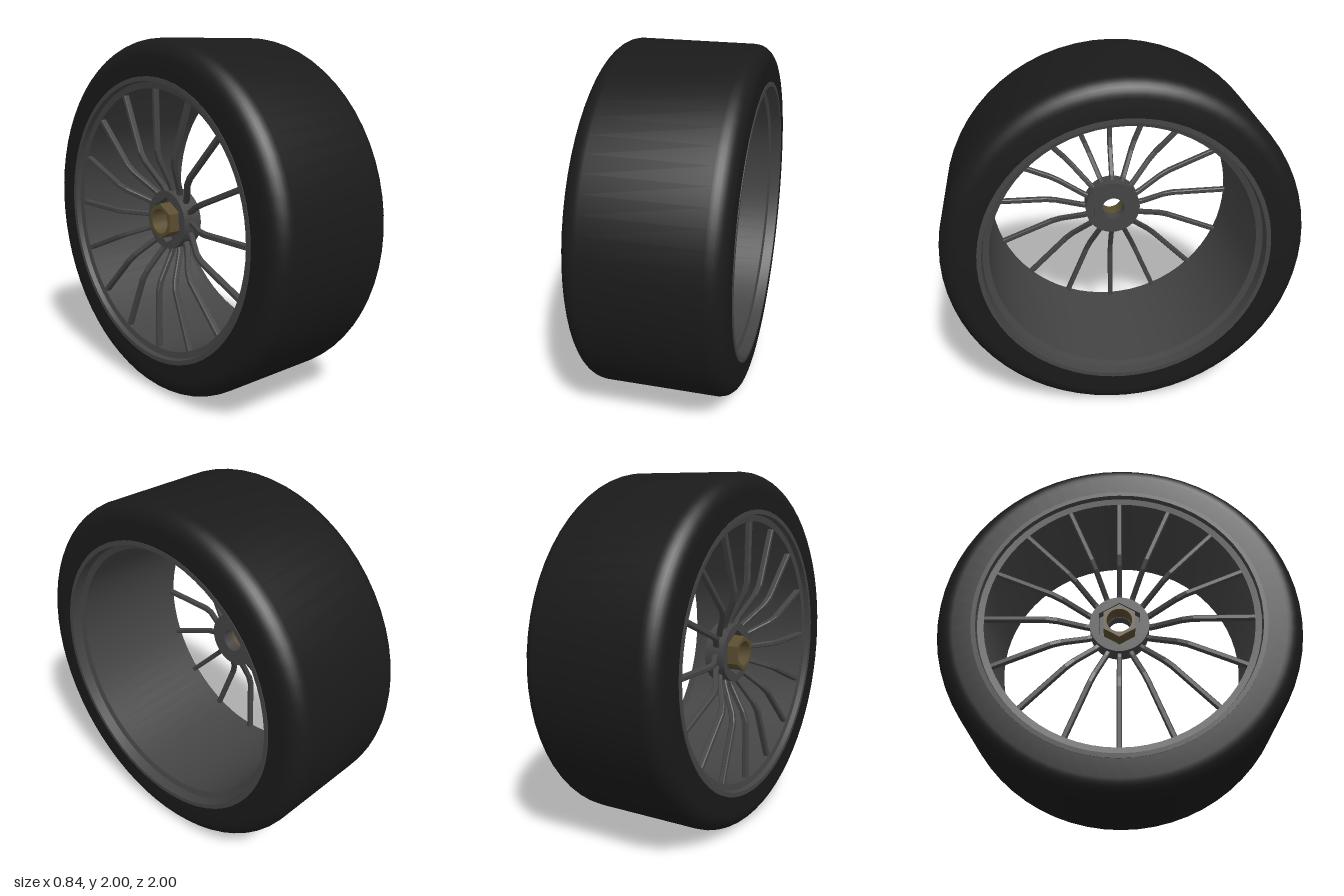
import * as THREE from 'three';
import { toCreasedNormals } from 'three/addons/utils/BufferGeometryUtils.js';

const rubber = new THREE.MeshStandardMaterial({ color: 0x1a1a1a });
const metal = new THREE.MeshStandardMaterial({ color: 0x444444 });
const brass = new THREE.MeshStandardMaterial({ color: 0x5a4d30 });

function named(name, geometry, material) {
  const mesh = new THREE.Mesh(geometry, material);
  mesh.name = name;
  return mesh;
}

// Closed [radius, x] profile turned around the axle (the x axis).
function turned(profile) {
  const points = profile.map(([r, x]) => new THREE.Vector2(r, x));
  points.push(points[0].clone());
  const geometry = new THREE.LatheGeometry(points, 64);
  geometry.rotateZ(-Math.PI / 2);
  return toCreasedNormals(geometry, 0.5);
}

// Points of a regular polygon with one corner straight up.
function polygon(radius, sides) {
  return Array.from({ length: sides }, (_, i) => {
    const a = Math.PI / 2 + (i / sides) * Math.PI * 2;
    return new THREE.Vector2(Math.cos(a) * radius, Math.sin(a) * radius);
  });
}

// Plate with a hole, spanning x0 to x1 along the axle.
function plate(outer, hole, x0, x1) {
  const shape = new THREE.Shape(outer);
  shape.holes.push(new THREE.Path(hole));
  const geometry = new THREE.ExtrudeGeometry(shape, { depth: x1 - x0, bevelEnabled: false });
  geometry.rotateY(Math.PI / 2);
  geometry.translate(x0, 0, 0);
  return toCreasedNormals(geometry, 0.5);
}

// Bent spoke: side outline in the x-y plane, extruded across its width.
function spokeGeometry() {
  const t = 0.017;
  const line = [[-0.25, 0.14], [-0.265, 0.19], [-0.345, 0.34], [-0.362, 0.4], [-0.368, 0.742]];
  const outline = [
    ...line.map(([x, y]) => new THREE.Vector2(x + t, y)),
    ...line.reverse().map(([x, y]) => new THREE.Vector2(x - t, y)),
  ];
  const geometry = new THREE.ExtrudeGeometry(new THREE.Shape(outline), {
    depth: 0.018, bevelEnabled: true, bevelSize: 0.005, bevelThickness: 0.005,
    bevelOffset: -0.005, bevelSegments: 1,
  });
  geometry.translate(0, 0, -0.009);
  return geometry;
}

export function createModel() {
  const wheel = new THREE.Group();
  wheel.name = 'wheel';
  wheel.position.y = 1;

  // Tyre: flat tread with rounded shoulders
  const half = 0.415, fillet = 0.1, steps = 8;
  const tyre = [[0.79, -half]];
  for (const side of [-1, 1]) {
    for (let i = 0; i <= steps; i++) {
      const a = ((side < 0 ? i - steps : i) / steps) * Math.PI / 2;
      tyre.push([1 - fillet + Math.cos(a) * fillet, side * (half - fillet) + Math.sin(a) * fillet]);
    }
  }
  tyre.push([0.79, half]);
  wheel.add(named('tyre', turned(tyre), rubber));

  // Rim barrel with a stepped lip at each end
  const rim = [
    [0.8, -0.419], [0.8, 0.419], [0.775, 0.419], [0.77, 0.36],
    [0.735, 0.35], [0.735, -0.385], [0.77, -0.39], [0.775, -0.419],
  ];
  wheel.add(named('rim', turned(rim), metal));

  // Sixteen spokes, dished inward to the hub
  const spokes = new THREE.Group();
  spokes.name = 'spokes';
  const geometry = spokeGeometry();
  for (let i = 0; i < 16; i++) {
    const spoke = named('spoke', geometry, metal);
    spoke.rotation.x = (i / 16) * Math.PI * 2;
    spokes.add(spoke);
  }
  wheel.add(spokes);

  // Hub: outer plate with hexagonal recess, bored back plate and hexagonal boss
  const hub = new THREE.Group();
  hub.name = 'hub';
  hub.add(
    named('hubOuterPlate', plate(polygon(0.165, 48), polygon(0.13, 6), -0.305, -0.25), metal),
    named('hubBackPlate', plate(polygon(0.165, 48), polygon(0.068, 32), -0.25, -0.19), metal),
    named('hubBoss', plate(polygon(0.13, 6), polygon(0.068, 32), -0.19, -0.182), metal),
  );
  wheel.add(hub);

  // Hollow centre nut
  wheel.add(named('centreNut', plate(polygon(0.1, 6), polygon(0.07, 32), -0.35, -0.25), brass));

  const model = new THREE.Group();
  model.name = 'model';
  model.add(wheel);
  return model;
}
